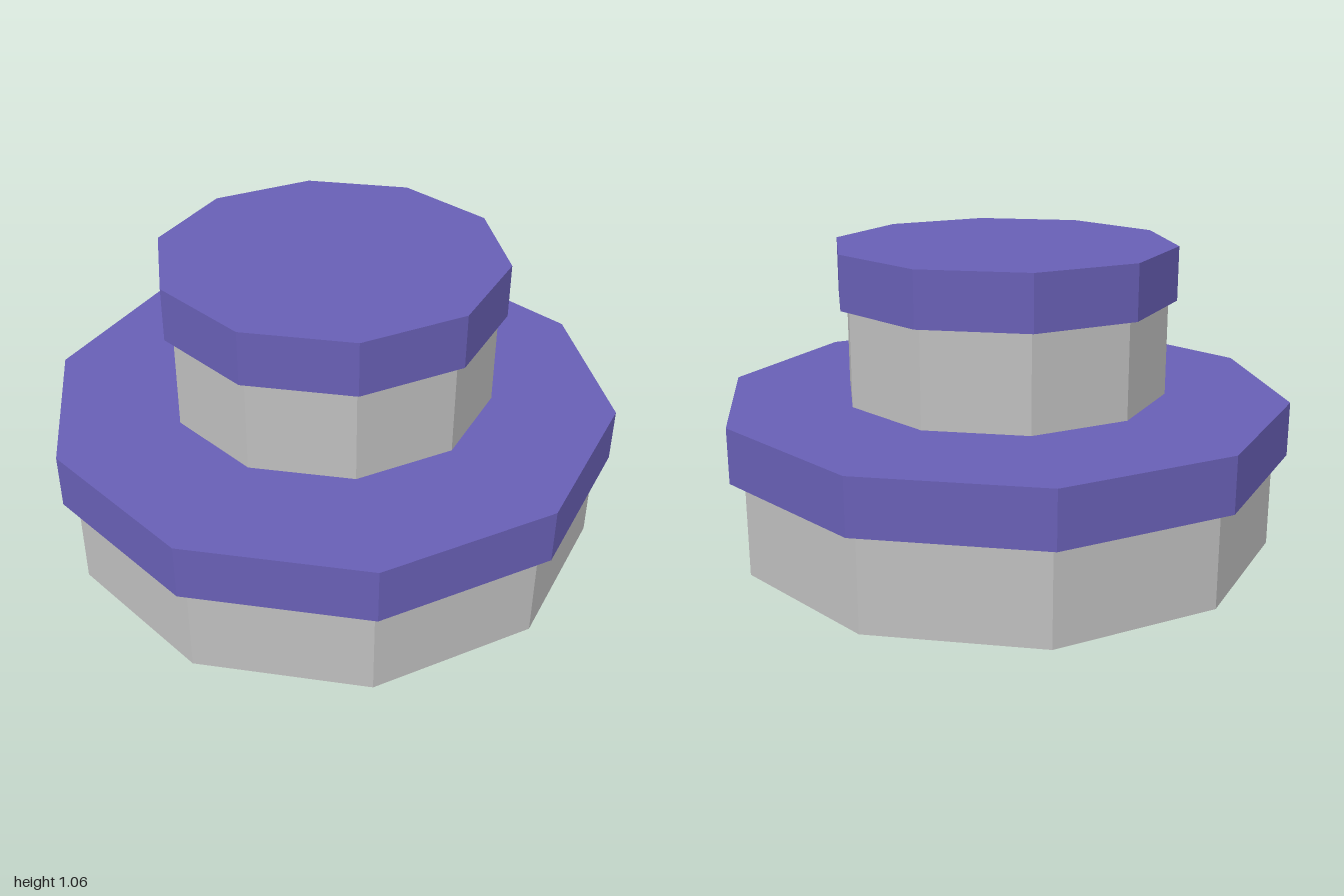
import * as THREE from 'three';

const SIDES = 10;

function flat(name, color) {
  const m = new THREE.MeshStandardMaterial({ color, flatShading: true, side: THREE.DoubleSide });
  m.name = name;
  return m;
}

// Ten-sided shell turned from a profile of [radius, height] points, bottom to top
function shell(name, profile, material) {
  const points = profile.map(([r, y]) => new THREE.Vector2(r, y));
  const mesh = new THREE.Mesh(new THREE.LatheGeometry(points, SIDES), material);
  mesh.name = name;
  return mesh;
}

// One tier: an open wall ring with a hollow lid slipped over its top
function tier(name, radius, base, rim, top, wallMaterial, lidMaterial) {
  const group = new THREE.Group();
  group.name = name;
  group.add(
    shell('wall', [[radius * 0.95, base], [radius * 0.95, top - 0.048]], wallMaterial),
    shell('lid', [[radius, rim], [radius, top], [0, top]], lidMaterial),
  );
  return group;
}

export function createModel() {
  const grey = flat('grey wall', 0xbebebe);
  const purple = flat('purple lid', 0x685fb5);

  const model = new THREE.Group();
  model.name = 'tieredBoxes';
  model.add(
    tier('lowerTier', 1, 0, 0.333, 0.524, grey, purple),
    // The small tier hovers just above the large lid
    tier('upperTier', 0.6, 0.536, 0.869, 1.056, grey, purple),
  );
  return model;
}
